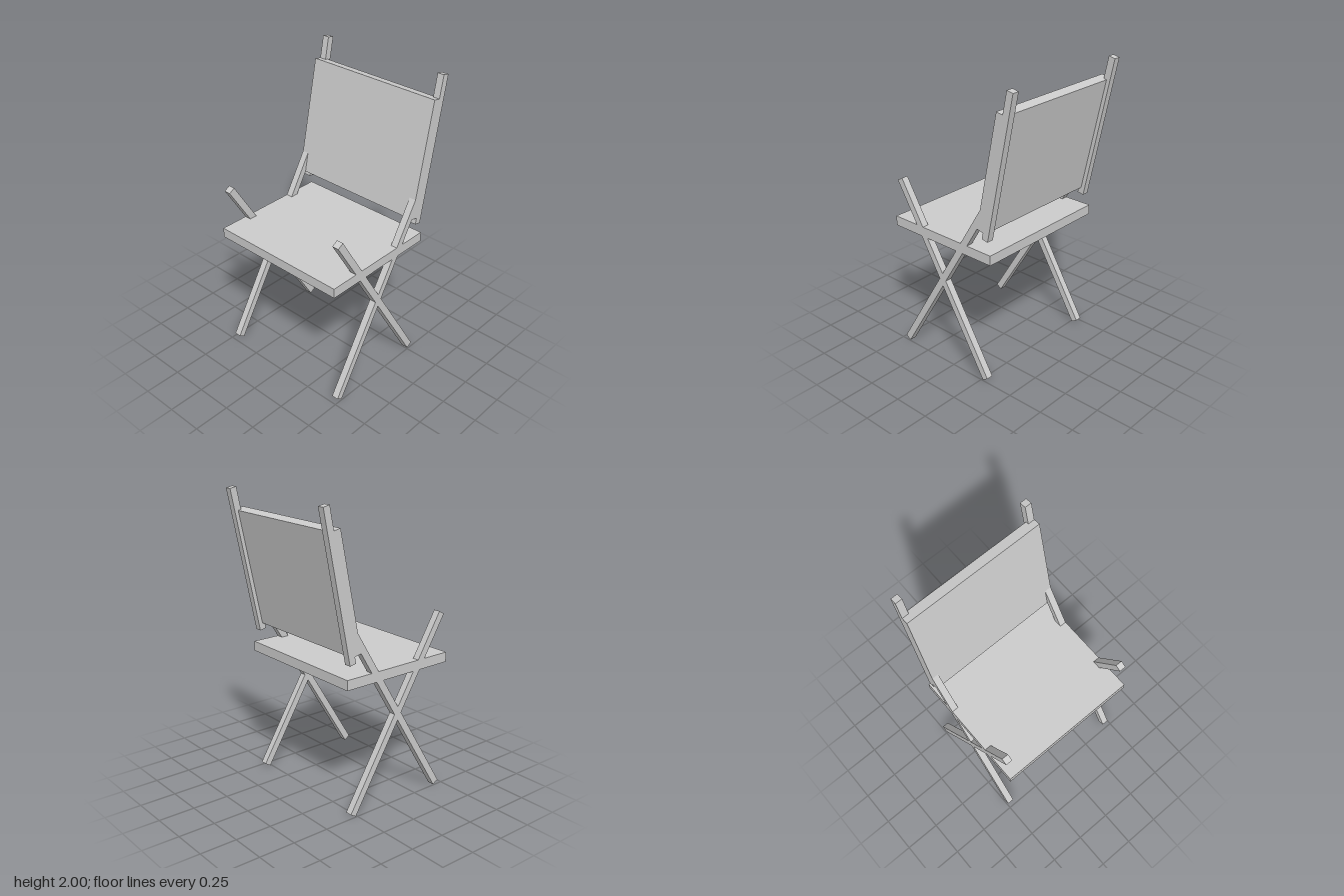
import * as THREE from 'three';

const material = new THREE.MeshStandardMaterial({ color: 0xcccccc, flatShading: true });

const HALF_WIDTH = 0.494;
const BAR = 0.047;
const BAR_X = HALF_WIDTH - BAR / 2;

function box(name, w, h, d, x, y, z, tilt = 0) {
  const mesh = new THREE.Mesh(new THREE.BoxGeometry(w, h, d), material);
  mesh.name = name;
  mesh.position.set(x, y, z);
  mesh.rotation.x = tilt;
  return mesh;
}

// Square bar between two [y, z] points at a given x
function bar(name, x, [y0, z0], [y1, z1]) {
  const length = Math.hypot(y1 - y0, z1 - z0);
  const tilt = Math.atan2(z1 - z0, y1 - y0);
  return box(name, BAR, length, BAR, x, (y0 + y1) / 2, (z0 + z1) / 2, tilt);
}

export function createModel() {
  const chair = new THREE.Group();
  chair.name = 'foldingChair';

  // Seat slab
  chair.add(box('seat', HALF_WIDTH * 2, 0.067, 0.841, 0, 0.9035, 0.0875));

  // Reclined back panel
  chair.add(box('backPanel', HALF_WIDTH * 2, 0.794, 0.07, 0, 1.465, -0.34, -0.205));

  // Crossed legs and back rails, mirrored on both sides
  for (const [side, x] of [['left', BAR_X], ['right', -BAR_X]]) {
    chair.add(bar(side + 'FrontFootLeg', x, [0.012, 0.453], [1.217, -0.28]));
    chair.add(bar(side + 'RearFootLeg', x, [0.012, -0.28], [1.217, 0.453]));
    chair.add(bar(side + 'BackRail', x, [1.025, -0.289], [1.995, -0.487]));
  }
  return chair;
}
